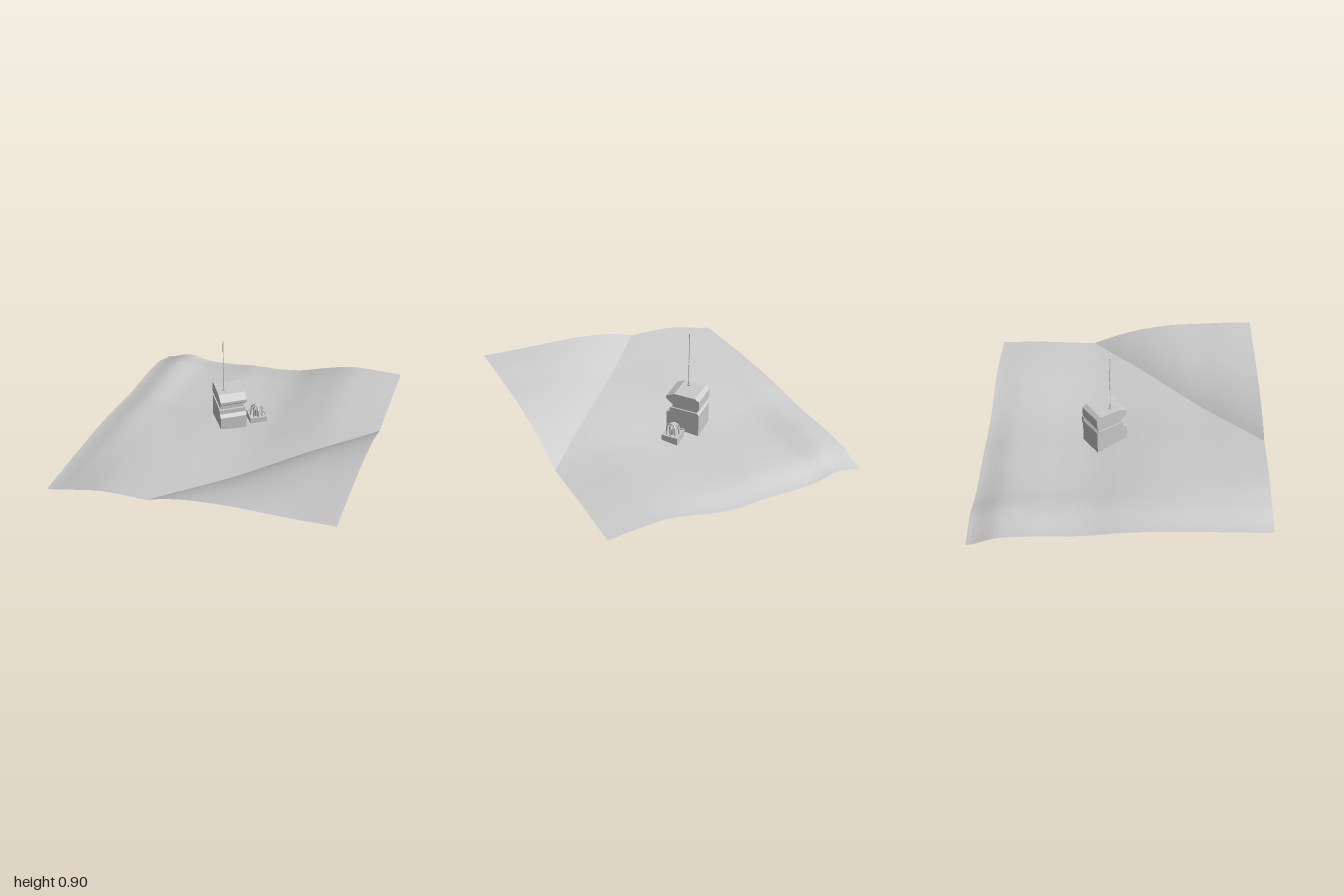
import * as THREE from 'three';

const material = new THREE.MeshStandardMaterial({ color: 0xcccccc, flatShading: true });
const groundMaterial = new THREE.MeshStandardMaterial({ color: 0xcccccc, flatShading: true, side: THREE.DoubleSide });

function addMesh(parent, name, geometry, x = 0, y = 0, z = 0) {
  const mesh = new THREE.Mesh(geometry, material);
  mesh.name = name;
  mesh.position.set(x, y, z);
  parent.add(mesh);
  return mesh;
}

// Height along one border (without the hill), from evenly spaced samples running -1 to 1
function border(heights) {
  const curve = new THREE.SplineCurve(heights.map((h, i) => new THREE.Vector2(i, h)));
  return s => curve.getPoint((s + 1) / 2).y;
}
const front = border([0.17, 0.225, 0.28, 0.303, 0.312, 0.314, 0.317, 0.32, 0.325, 0.335, 0.352]);
const back = border([0, 0.065, 0.045, 0.06, 0.09, 0.105, 0.14, 0.21, 0.268, 0.285, 0.288]);
const left = border([0.288, 0.295, 0.297, 0.292, 0.293, 0.31, 0.33, 0.343, 0.345, 0.353, 0.352]);
const right = border([0, 0.07, 0.093, 0.1, 0.112, 0.14, 0.158, 0.165, 0.168, 0.17, 0.17]);

// Hillside rising from a diagonal crease
function hill(x, z) {
  const s = x + z - 0.75;
  return s > 0 ? 0.16 * (1 - Math.exp(-s / 0.35)) : 0;
}

// Blend of the four borders, sagging slightly in the middle, with the hill on top
function groundHeight(x, z) {
  const u = (x + 1) / 2, v = (z + 1) / 2;
  const corners = (1 - v) * ((1 - u) * back(-1) + u * back(1))
    + v * ((1 - u) * front(-1) + u * front(1));
  const blend = (1 - v) * back(x) + v * front(x) + (1 - u) * right(z) + u * left(z) - corners;
  return blend - 0.024 * (1 - x * x) * (1 - z * z) + hill(x, z);
}

function makeGround() {
  const geometry = new THREE.PlaneGeometry(2, 2, 64, 64).rotateX(-Math.PI / 2);
  const p = geometry.attributes.position;
  for (let i = 0; i < p.count; i++) p.setY(i, groundHeight(p.getX(i), p.getZ(i)));
  geometry.computeVertexNormals();
  const mesh = new THREE.Mesh(geometry, groundMaterial);
  mesh.name = 'ground';
  return mesh;
}

// Side profile (depth, height) extruded across the building's width
function profileBlock(points, width) {
  const shape = new THREE.Shape(points.map(p => new THREE.Vector2(...p)));
  return new THREE.ExtrudeGeometry(shape, { depth: width, bevelEnabled: false })
    .translate(0, 0, -width / 2).rotateY(-Math.PI / 2);
}

function makeBunker() {
  const bunker = new THREE.Group();
  bunker.name = 'bunker';
  bunker.position.x = -0.013;
  addMesh(bunker, 'base', profileBlock(
    [[-0.275, 0.13], [-0.04, 0.13], [-0.03, 0.16], [-0.03, 0.31], [-0.06, 0.325], [-0.06, 0.36],
      [-0.265, 0.36], [-0.28, 0.345], [-0.28, 0.16]], 0.195));
  addMesh(bunker, 'neck', new THREE.BoxGeometry(0.175, 0.06, 0.19), 0, 0.38, -0.17);
  addMesh(bunker, 'roof', profileBlock(
    [[-0.28, 0.385], [-0.07, 0.395], [-0.03, 0.43], [-0.03, 0.45], [-0.09, 0.48], [-0.25, 0.48], [-0.28, 0.46]], 0.195));
  return bunker;
}

function makeAntenna() {
  const antenna = new THREE.Group();
  antenna.name = 'antenna';
  antenna.position.set(-0.061, 0.48, -0.14);
  addMesh(antenna, 'antennaFoot', new THREE.BoxGeometry(0.018, 0.008, 0.018), 0, 0.004, 0);
  addMesh(antenna, 'antennaSocket', new THREE.CylinderGeometry(0.004, 0.005, 0.03, 8), 0, 0.022, 0);
  addMesh(antenna, 'antennaMast', new THREE.CylinderGeometry(0.002, 0.003, 0.3, 6), 0, 0.185, 0);
  addMesh(antenna, 'antennaTip', new THREE.BoxGeometry(0.005, 0.09, 0.005), 0, 0.375, 0);
  for (let i = 0; i < 3; i++)
    addMesh(antenna, 'antennaRing', new THREE.CylinderGeometry(0.008, 0.008, 0.003, 8), 0, 0.205 + i * 0.013, 0);
  return antenna;
}

// Square pad with a domed core inside a ring of curved ribs
function makeGenerator() {
  const generator = new THREE.Group();
  generator.name = 'generator';
  generator.position.set(0.19, 0, -0.13);

  // The pad's underside rises with the slope
  const pad = new THREE.BoxGeometry(0.128, 0.095, 0.12);
  const p = pad.attributes.position;
  for (let i = 0; i < p.count; i++)
    if (p.getY(i) < 0 && p.getX(i) > 0) p.setY(i, p.getY(i) + 0.045);
  addMesh(generator, 'pad', pad, 0, 0.178, 0);
  for (const side of [-1, 1]) {
    addMesh(generator, 'padRim', new THREE.BoxGeometry(0.128, 0.012, 0.008), 0, 0.228, side * 0.056);
    addMesh(generator, 'padRim', new THREE.BoxGeometry(0.008, 0.012, 0.104), side * 0.06, 0.228, 0);
  }
  const core = [[0, 0.225], [0.028, 0.225], [0.028, 0.28], [0.022, 0.298], [0, 0.303]];
  addMesh(generator, 'core', new THREE.LatheGeometry(core.map(q => new THREE.Vector2(...q)), 12));
  const rib = new THREE.CatmullRomCurve3(
    [[0.046, 0.22], [0.046, 0.26], [0.04, 0.285], [0.018, 0.3]].map(([r, y]) => new THREE.Vector3(r, y, 0)));
  for (let i = 0; i < 8; i++)
    addMesh(generator, 'rib', new THREE.TubeGeometry(rib, 8, 0.006, 6)).rotation.y = i * Math.PI / 4;
  addMesh(generator, 'cap', new THREE.CylinderGeometry(0.018, 0.022, 0.012, 8), 0, 0.302, 0);
  return generator;
}

export function createModel() {
  const model = new THREE.Group();
  model.name = 'bunkerLandscape';
  const outpost = new THREE.Group();
  outpost.name = 'outpost';
  outpost.rotation.y = THREE.MathUtils.degToRad(35);
  outpost.add(makeBunker(), makeAntenna(), makeGenerator());
  model.add(makeGround(), outpost);
  return model;
}
